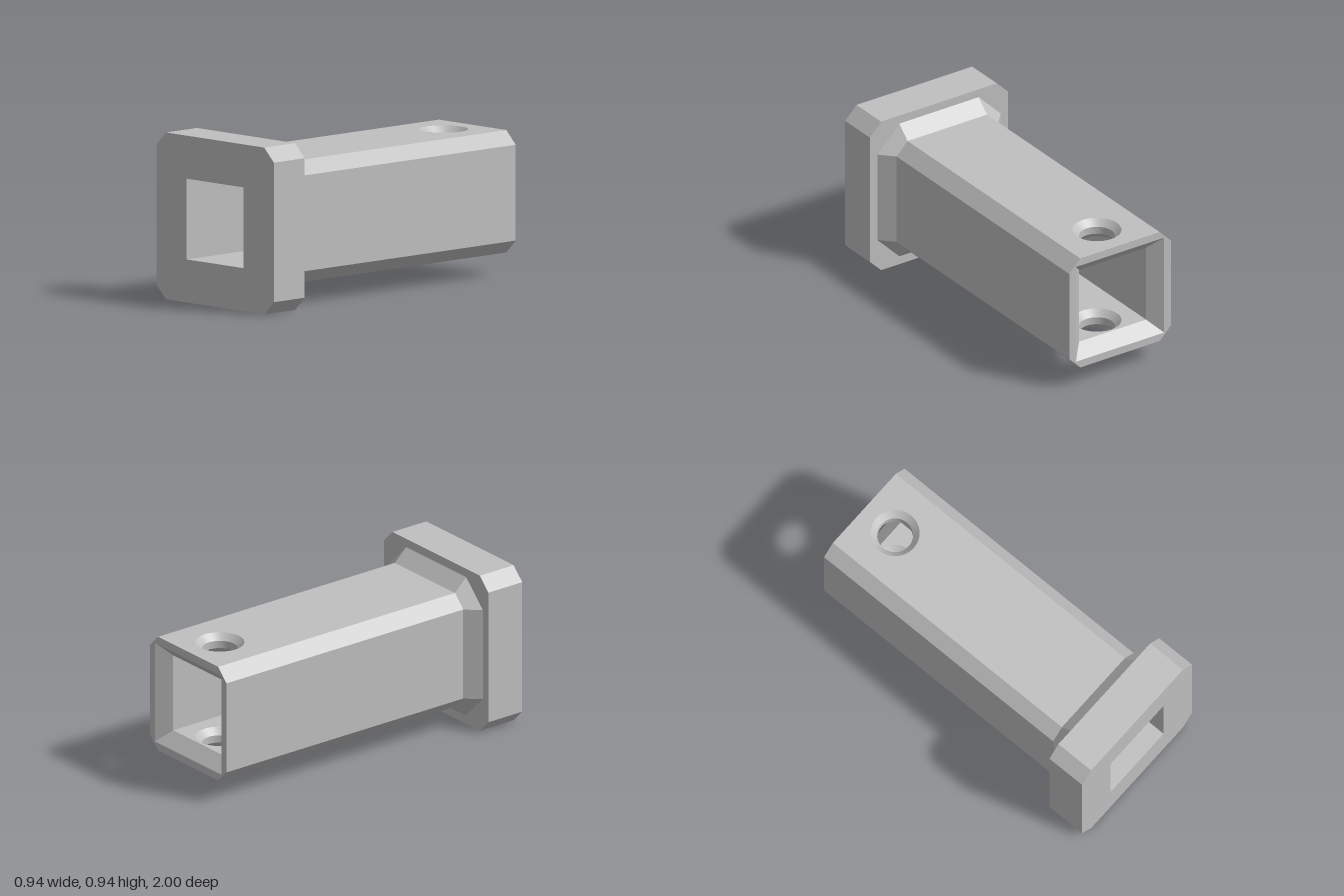
import * as THREE from 'three';
import { toCreasedNormals } from 'three/addons/utils/BufferGeometryUtils.js';

const BORE = 0.2275, HALF = 0.345, FLAT = 0.27;
const MOUTH = 0.30, FLARE = 0.0725; // widened rear opening
const HOLE_Z = -0.775, HOLE_R = 0.1, SINK = 0.037;

const steel = new THREE.MeshStandardMaterial({ color: 0xbfbfbf, side: THREE.DoubleSide });
steel.name = 'grey steel';

// Counter-clockwise outlines in the xy plane
const octagon = (h, f) => [[h, -f], [h, f], [f, h], [-f, h], [-h, f], [-h, -f], [-f, -h], [f, -h]];
const square = (h) => [[h, -h], [h, h], [-h, h], [-h, -h]];
const toPoints = (ring) => ring.map(([x, y]) => new THREE.Vector2(x, y));

function framedShape(outer, inner) {
  const shape = new THREE.Shape(toPoints(outer));
  shape.holes.push(new THREE.Path(toPoints(inner).reverse()));
  return shape;
}

// Flat-sided skin between two rings; sides listed in skip are left open
function loft(back, zBack, front, zFront, { inward = false, skip = [] } = {}) {
  const pos = [];
  back.forEach((a, i) => {
    if (skip.includes(i)) return;
    const j = (i + 1) % back.length;
    const q = [[...a, zBack], [...back[j], zBack], [...front[j], zFront], [...front[i], zFront]];
    if (inward) q.reverse();
    for (const k of [0, 1, 2, 0, 2, 3]) pos.push(...q[k]);
  });
  const g = new THREE.BufferGeometry();
  g.setAttribute('position', new THREE.Float32BufferAttribute(pos, 3));
  g.computeVertexNormals();
  return g;
}

// Rectangle in x and z with a round opening at the pin hole
function drilledPanel(halfWidth, zMin, zMax) {
  const shape = new THREE.Shape(toPoints([
    [-halfWidth, zMin], [halfWidth, zMin], [halfWidth, zMax], [-halfWidth, zMax]]));
  const hole = new THREE.Path();
  hole.absarc(0, HOLE_Z, HOLE_R + SINK, 0, Math.PI * 2, true);
  shape.holes.push(hole);
  return new THREE.ShapeGeometry(shape, 24);
}

export function createModel() {
  const model = new THREE.Group();
  model.name = 'receiverTube';
  const body = new THREE.Group();
  body.name = 'body';
  body.position.y = 0.47;
  model.add(body);

  const add = (name, geometry, parent = body) => {
    const mesh = new THREE.Mesh(geometry, steel);
    mesh.name = name;
    parent.add(mesh);
    return mesh;
  };

  // Front flange with square opening
  const flange = add('frontFlange', new THREE.ExtrudeGeometry(
    framedShape(octagon(0.47, 0.393), square(BORE)), { depth: 0.24, bevelEnabled: false }));
  flange.position.z = 0.76;

  // Sloped weld collar behind the flange
  add('weldCollar', loft(octagon(HALF, FLAT), 0.68, octagon(0.42, FLAT), 0.76));

  // Tube sides, bore sides, flared mouth and rear rim
  const outer = octagon(HALF, FLAT), bore = square(BORE);
  add('tubeSides', loft(outer, -1, outer, 0.68, { skip: [2, 6] }));
  add('boreSides', loft(bore, -1 + FLARE, bore, 0.76, { inward: true, skip: [1, 3] }));
  add('flaredMouth', loft(square(MOUTH), -1, bore, -1 + FLARE, { inward: true }));
  const rim = add('rearRim', new THREE.ShapeGeometry(framedShape(outer, square(MOUTH))));
  rim.rotation.y = Math.PI;
  rim.position.z = -1;

  // Drilled wall: outer face, inner face and a pin hole chamfered at both ends
  const holeProfile = [
    [HOLE_R + SINK, HALF], [HOLE_R, HALF - SINK],
    [HOLE_R, BORE + SINK], [HOLE_R + SINK, BORE]];
  for (const [name, turn] of [['topWall', 0], ['bottomWall', Math.PI]]) {
    const wall = new THREE.Group();
    wall.name = name;
    wall.rotation.z = turn;
    body.add(wall);

    const inside = add('innerFace', drilledPanel(BORE, -1 + FLARE, 0.76), wall);
    inside.rotation.x = Math.PI / 2;
    inside.position.y = BORE;

    // Mirror z in the panel so that its front looks outward
    const outsideGeometry = drilledPanel(FLAT, -1, 0.68);
    outsideGeometry.rotateX(Math.PI / 2).rotateZ(Math.PI);
    add('outerFace', outsideGeometry, wall).position.y = HALF;

    const hole = add('pinHole', toCreasedNormals(
      new THREE.LatheGeometry(toPoints(holeProfile), 48), 0.5), wall);
    hole.position.z = HOLE_Z;
  }
  return model;
}
